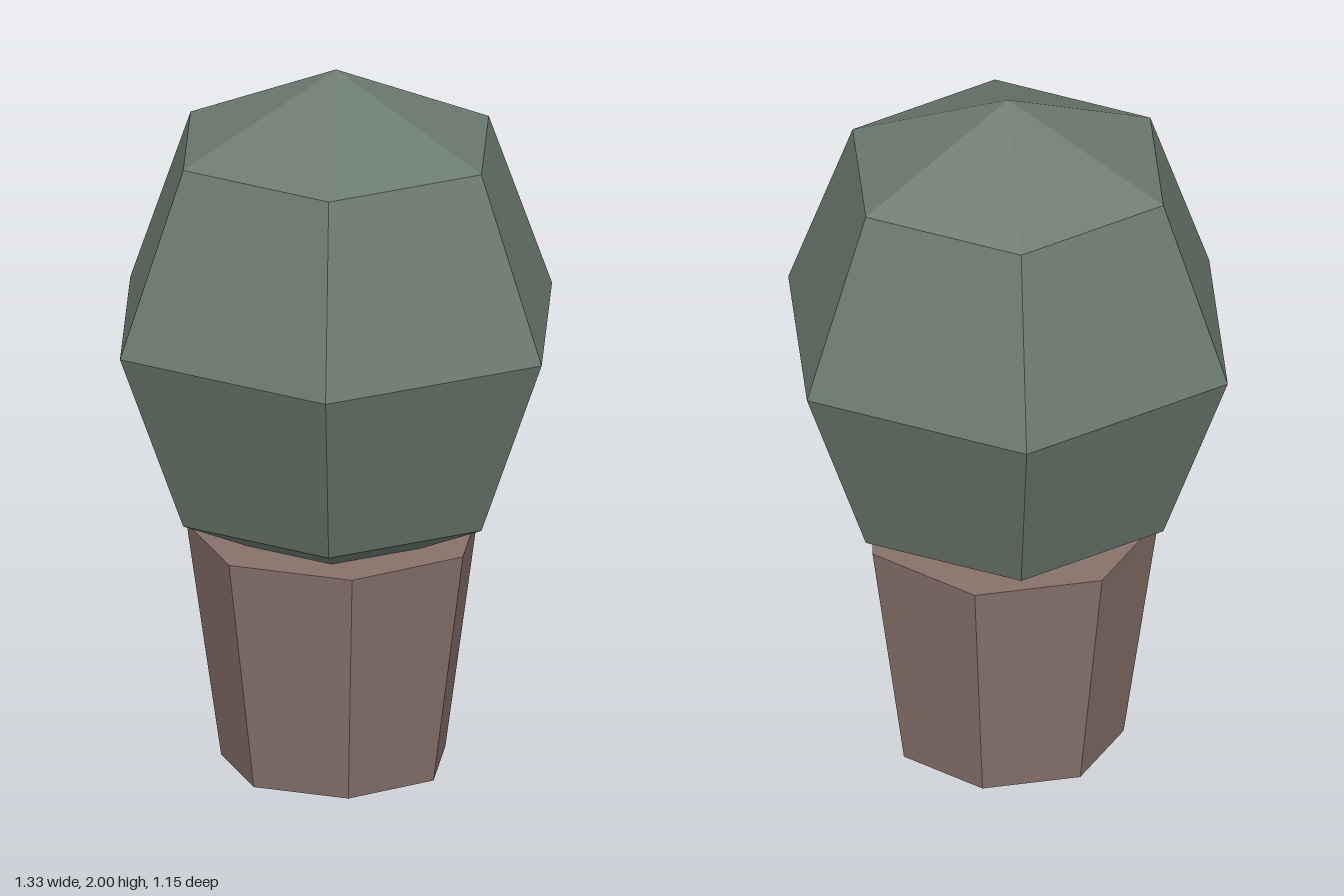
import * as THREE from 'three';

export function createModel() {
  const group = new THREE.Group();
  const foliageGreen = new THREE.MeshStandardMaterial({ color: 0x6b7a70, flatShading: true });
  foliageGreen.name = 'foliageGreen';
  const potBrown = new THREE.MeshStandardMaterial({ color: 0x88726a, flatShading: true });
  potBrown.name = 'potBrown';

  // Seven-sided tapered pot with one corner on +x
  const potHeight = 0.667;
  const pot = new THREE.Mesh(
    new THREE.CylinderGeometry(0.41, 0.315, potHeight, 7, 1, false, Math.PI / 2), potBrown);
  pot.name = 'pot';
  pot.position.y = potHeight / 2;
  group.add(pot);

  // Six-sided stretched ball of leaves, its lower tip sunk in the pot
  const foliage = new THREE.Mesh(new THREE.SphereGeometry(0.664, 6, 4), foliageGreen);
  foliage.name = 'foliage';
  foliage.scale.y = 0.73 / 0.664;
  foliage.position.y = 1.27;
  group.add(foliage);

  return group;
}
